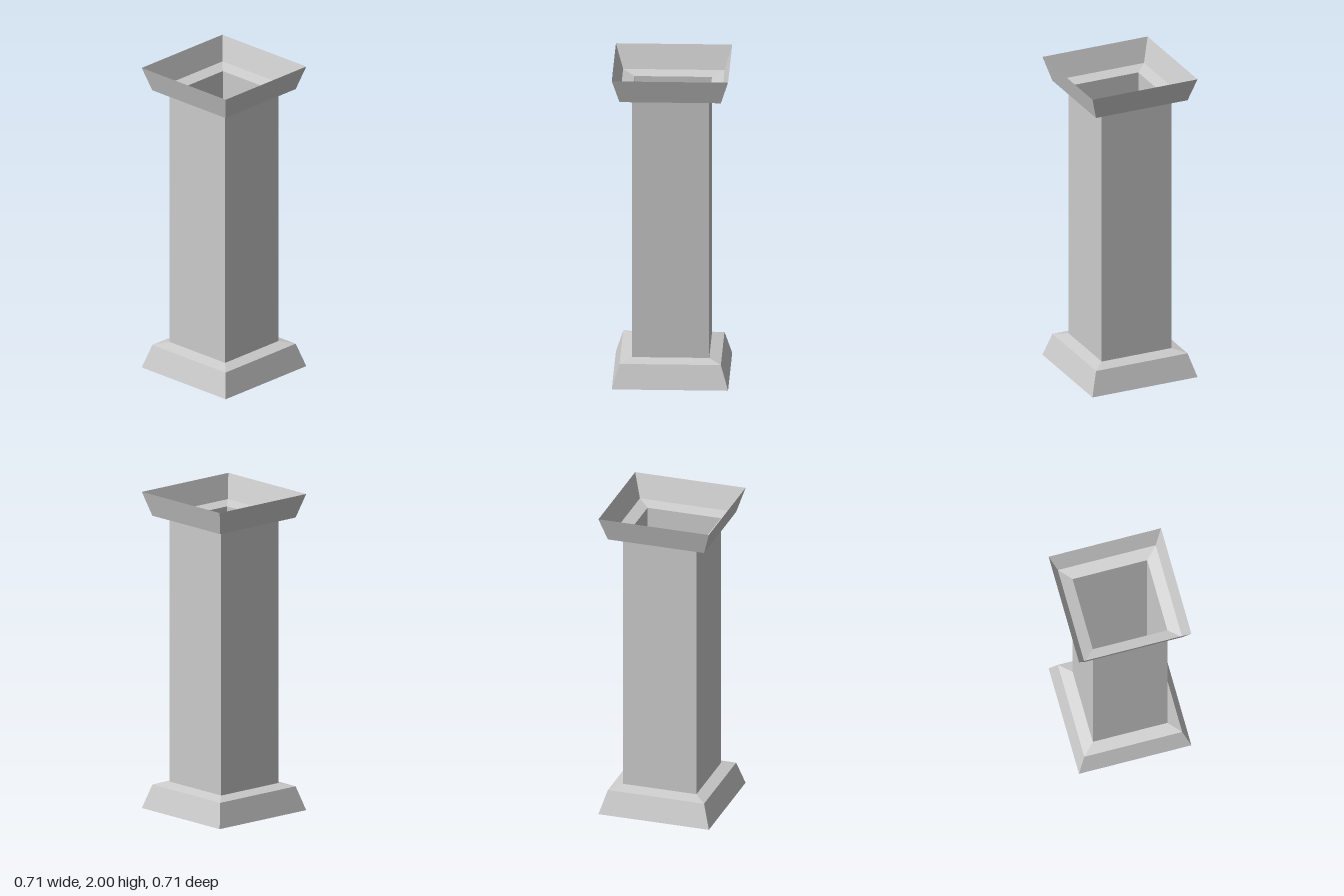
import * as THREE from 'three';

const material = new THREE.MeshStandardMaterial({
  color: 0xcccccc,
  flatShading: true,
  side: THREE.DoubleSide,
});

// Open square shell swept from a profile of [half width, height] pairs
function squareShell(name, profile) {
  const points = profile.map(([half, y]) => new THREE.Vector2(half * Math.SQRT2, y));
  const mesh = new THREE.Mesh(new THREE.LatheGeometry(points, 4, Math.PI / 4), material);
  mesh.name = name;
  return mesh;
}

export function createModel() {
  const height = 2;
  const group = new THREE.Group();
  group.name = 'squareColumn';

  // Flared foot with a shallow sloping ledge up to the shaft
  const foot = [[0.357, 0], [0.311, 0.15], [0.237, 0.17]];
  // The capital is the foot turned upside down
  const head = foot.map(([half, y]) => [half, height - y]).reverse();

  group.add(
    squareShell('base', foot),
    squareShell('shaft', [foot[2], head[0]]),
    squareShell('capital', head),
  );
  return group;
}
